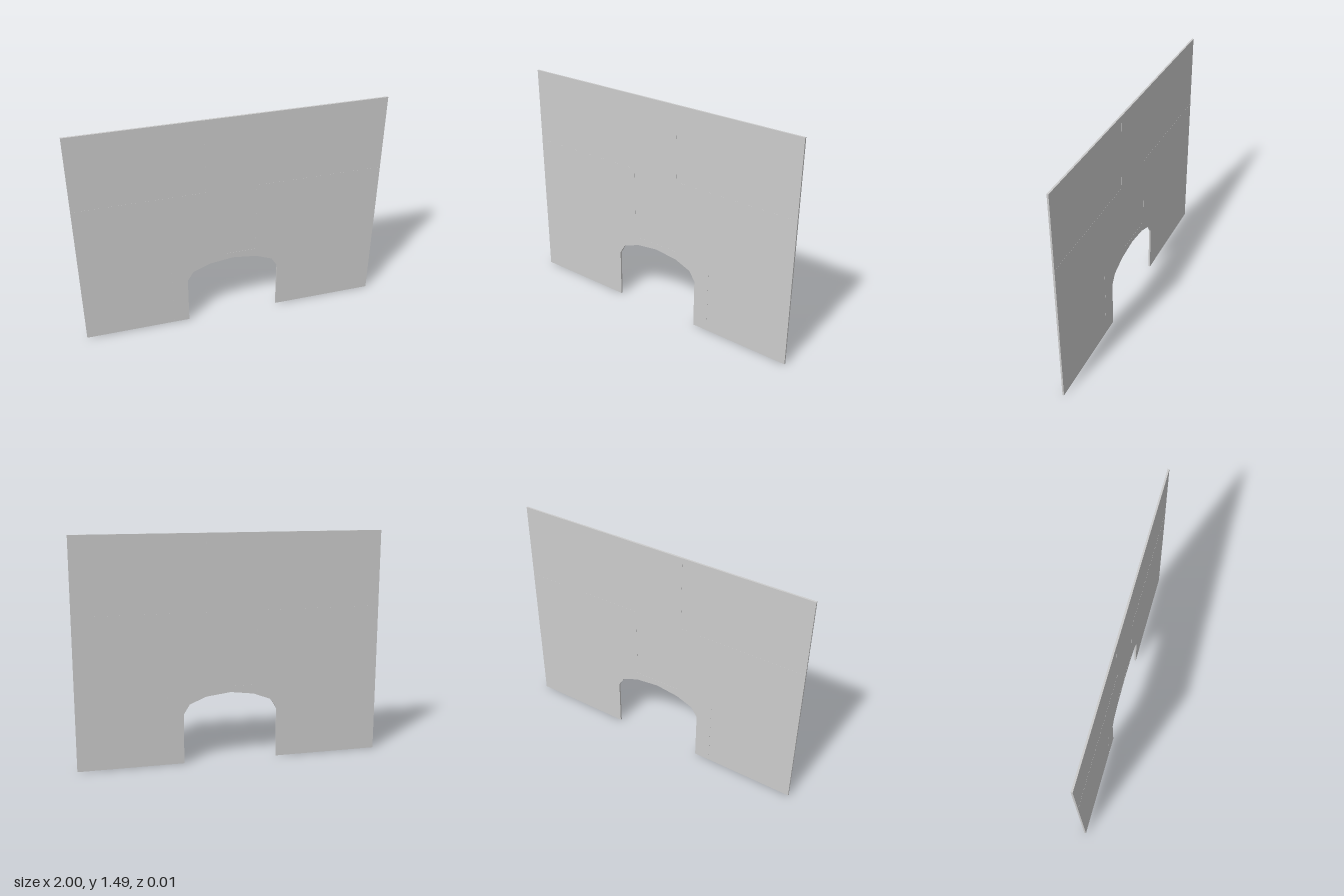
import * as THREE from 'three';

const material = new THREE.MeshStandardMaterial({ color: 0xcccccc, flatShading: true });
const DEPTH = 0.012;

// Upright slab cut from an outline, centred on z = 0
function slab(name, points, depth = DEPTH) {
  const shape = new THREE.Shape(points.map(([x, y]) => new THREE.Vector2(x, y)));
  const geometry = new THREE.ExtrudeGeometry(shape, { depth, bevelEnabled: false });
  geometry.translate(0, 0, -depth / 2);
  const mesh = new THREE.Mesh(geometry, material);
  mesh.name = name;
  return mesh;
}

const rect = (x0, x1, y0, y1) => [[x0, y0], [x1, y0], [x1, y1], [x0, y1]];

export function createModel() {
  const group = new THREE.Group();
  group.name = 'wallWithArchway';

  // Upper wall: two rows of three panels, with barely stepped seams
  const xs = [-1, -0.17, 0.16, 1];
  const ys = [0.5, 0.99, 1.485];
  for (let row = 0; row < 2; row++) {
    for (let col = 0; col < 3; col++) {
      const depth = DEPTH - 0.001 * ((row + col) % 2);
      group.add(slab('upperPanel', rect(xs[col], xs[col + 1], ys[row], ys[row + 1]), depth));
    }
  }

  // Lower side panels
  group.add(slab('lowerRightPanel', rect(-1, -0.41, 0, 0.5), DEPTH - 0.001));
  group.add(slab('lowerLeftPanel', rect(0.42, 1, 0, 0.5), DEPTH - 0.001));

  // Panel around the faceted archway
  group.add(slab('archPanel', [
    [-0.41, 0], [-0.305, 0], [-0.305, 0.33], [-0.265, 0.395], [-0.15, 0.44], [0.005, 0.46],
    [0.165, 0.44], [0.275, 0.395], [0.315, 0.33], [0.315, 0], [0.42, 0], [0.42, 0.5], [-0.41, 0.5],
  ]));

  return group;
}
